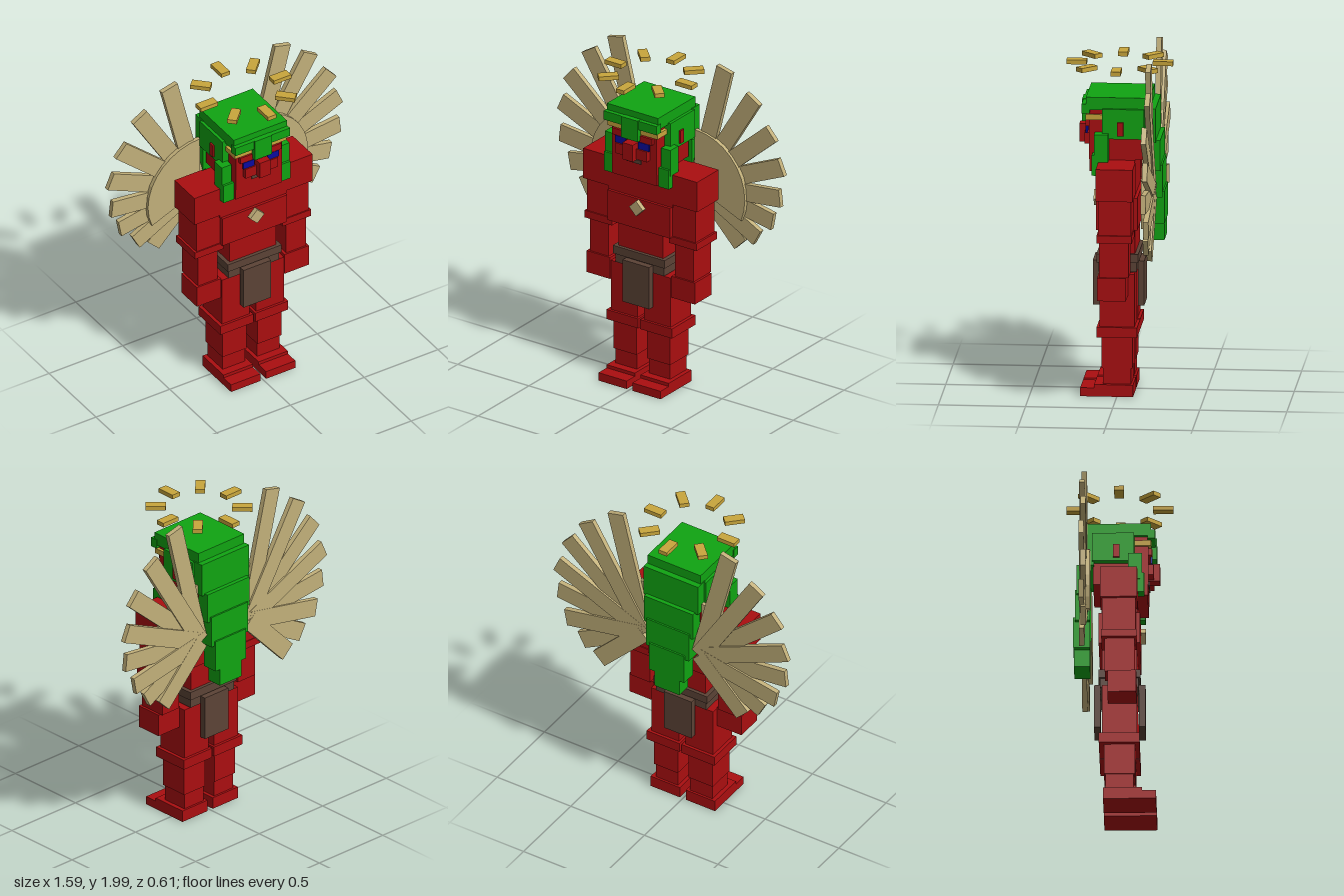
import * as THREE from 'three';

const mat = (name, color) => {
  const m = new THREE.MeshStandardMaterial({ color });
  m.name = name;
  return m;
};

export function createModel() {
  const red = mat('red skin', 0xaa0e10);
  const green = mat('green hair', 0x10a412);
  const beige = mat('beige feather', 0xc2b07a);
  const gold = mat('gold', 0xc9a63c);
  const brown = mat('brown leather', 0x5c4336);
  const blue = mat('blue eye', 0x0a0aa0);
  const root = new THREE.Group();
  root.name = 'wingedFigure';

  // Box given by its extents on each axis
  const box = (name, m, x0, x1, y0, y1, z0, z1, parent = root) => {
    const mesh = new THREE.Mesh(new THREE.BoxGeometry(x1 - x0, y1 - y0, z1 - z0), m);
    mesh.position.set((x0 + x1) / 2, (y0 + y1) / 2, (z0 + z1) / 2);
    mesh.name = name;
    parent.add(mesh);
    return mesh;
  };
  // Box centred on x = 0
  const mid = (name, m, hw, ...r) => box(name, m, -hw, hw, ...r);
  // Mirrored pair of boxes
  const pair = (name, m, x0, x1, ...r) => {
    box(name + 'Left', m, x0, x1, ...r);
    box(name + 'Right', m, -x1, -x0, ...r);
  };

  // Legs
  pair('toe', red, 0.02, 0.218, 0, 0.05, 0.12, 0.21);
  pair('foot', red, 0.02, 0.218, 0, 0.07, -0.093, 0.13);
  pair('ankle', red, 0.042, 0.192, 0.07, 0.165, -0.08, 0.08);
  pair('shin', red, 0.037, 0.2, 0.165, 0.35, -0.088, 0.09);
  pair('knee', red, 0.007, 0.23, 0.35, 0.41, -0.117, 0.115);
  pair('thigh', red, 0.022, 0.21, 0.41, 0.72, -0.1, 0.1);

  // Torso
  mid('hips', red, 0.16, 0.7, 0.8, -0.09, 0.09);
  mid('abdomen', red, 0.158, 0.8, 0.98, -0.1, 0.1);
  mid('chest', red, 0.22, 0.98, 1.17, -0.118, 0.12);
  mid('upperChest', red, 0.225, 1.17, 1.378, -0.1, 0.104);

  // Belt and loincloths
  mid('belt', brown, 0.182, 0.78, 0.83, -0.12, 0.12);
  mid('lowerBelt', brown, 0.17, 0.725, 0.78, -0.11, 0.11);
  mid('frontCloth', brown, 0.093, 0.51, 0.773, 0.11, 0.148);
  mid('backCloth', brown, 0.093, 0.51, 0.773, -0.147, -0.11);

  // Arms
  pair('shoulder', red, 0.215, 0.4, 1.19, 1.378, -0.106, 0.106);
  pair('upperArm', red, 0.218, 0.38, 0.985, 1.19, -0.095, 0.095);
  pair('elbow', red, 0.2, 0.393, 0.942, 0.987, -0.1, 0.102);
  pair('forearm', red, 0.232, 0.365, 0.735, 0.942, -0.08, 0.09);
  pair('hand', red, 0.215, 0.38, 0.6, 0.735, -0.065, 0.1);

  // Chest gem
  const gem = mid('chestGem', beige, 0.034, 1.086, 1.154, 0.115, 0.148);
  gem.rotation.z = Math.PI / 4;

  // Head and face
  mid('jaw', red, 0.157, 1.31, 1.4, -0.1, 0.162);
  mid('head', red, 0.157, 1.38, 1.7, -0.15, 0.165);
  mid('brow', red, 0.14, 1.57, 1.61, 0.15, 0.187);
  mid('cheeks', red, 0.11, 1.46, 1.525, 0.15, 0.195);
  mid('nose', red, 0.036, 1.455, 1.56, 0.16, 0.23);
  mid('mouth', brown, 0.052, 1.42, 1.443, 0.163, 0.172);
  pair('eye', blue, 0.043, 0.12, 1.525, 1.568, 0.178, 0.187);
  pair('ear', red, 0.15, 0.208, 1.53, 1.61, -0.036, 0);

  // Hair and headband
  mid('hairTop', green, 0.18, 1.675, 1.75, -0.185, 0.18);
  pair('hairSide', green, 0.15, 0.198, 1.51, 1.685, -0.155, 0.085);
  mid('fringe', green, 0.185, 1.655, 1.71, 0.16, 0.205);
  mid('forelock', green, 0.058, 1.58, 1.712, 0.16, 0.212);
  mid('headband', gold, 0.175, 1.615, 1.647, 0.08, 0.182);
  pair('sideLock', green, 0.165, 0.23, 1.38, 1.542, 0.05, 0.13);
  pair('lowerLock', green, 0.157, 0.227, 1.3, 1.42, 0.062, 0.143);

  // Hair falling down the back: half width, bottom, top, back
  [
    [0.185, 1.49, 1.69, -0.22],
    [0.166, 1.32, 1.5, -0.245],
    [0.145, 1.16, 1.35, -0.255],
    [0.12, 1.0, 1.19, -0.265],
    [0.085, 0.895, 1.1, -0.262],
  ].forEach(([w, y0, y1, z], i) => mid('backHair' + (i + 1), green, w, y0, y1, z, -0.145 - Math.min(i, 1) * 0.025));

  // Feather fans: a disc sector in front of eight shrinking feathers
  const rad = THREE.MathUtils.degToRad;
  for (const s of [1, -1]) {
    const fan = new THREE.Group();
    fan.name = s > 0 ? 'leftFan' : 'rightFan';
    fan.position.set(s * 0.19, 1.2, 0);
    root.add(fan);
    const sector = new THREE.Shape();
    sector.moveTo(0, 0);
    for (let i = 0; i <= 10; i++) {
      const a = rad(90 - i * 11.3);
      sector.lineTo(s * 0.352 * Math.cos(a), 0.352 * Math.sin(a));
    }
    const disc = new THREE.Mesh(new THREE.ExtrudeGeometry(sector, { depth: 0.025, bevelEnabled: false }), beige);
    disc.position.z = -0.19;
    disc.name = 'fanDisc';
    fan.add(disc);
    for (let i = 0; i < 8; i++) {
      const len = 0.8 - i * 0.0535;
      const a = rad(76 - i * 17.4);
      const z = -0.196 - (i % 2) * 0.01 - i * 0.0005;
      const feather = new THREE.Mesh(new THREE.BoxGeometry(len, 0.108, 0.03), beige);
      feather.position.set(s * Math.cos(a) * len / 2, Math.sin(a) * len / 2, z);
      feather.rotation.z = s * a;
      feather.name = 'feather' + (i + 1);
      fan.add(feather);
    }
  }

  // Floating ring of gold bars
  for (let i = 0; i < 8; i++) {
    const a = i * Math.PI / 4;
    const bar = new THREE.Mesh(new THREE.BoxGeometry(0.056, 0.026, 0.116), gold);
    bar.position.set(Math.sin(a) * 0.248, 1.918, Math.cos(a) * 0.248);
    bar.rotation.y = a;
    bar.name = 'haloBar' + (i + 1);
    root.add(bar);
  }
  return root;
}
